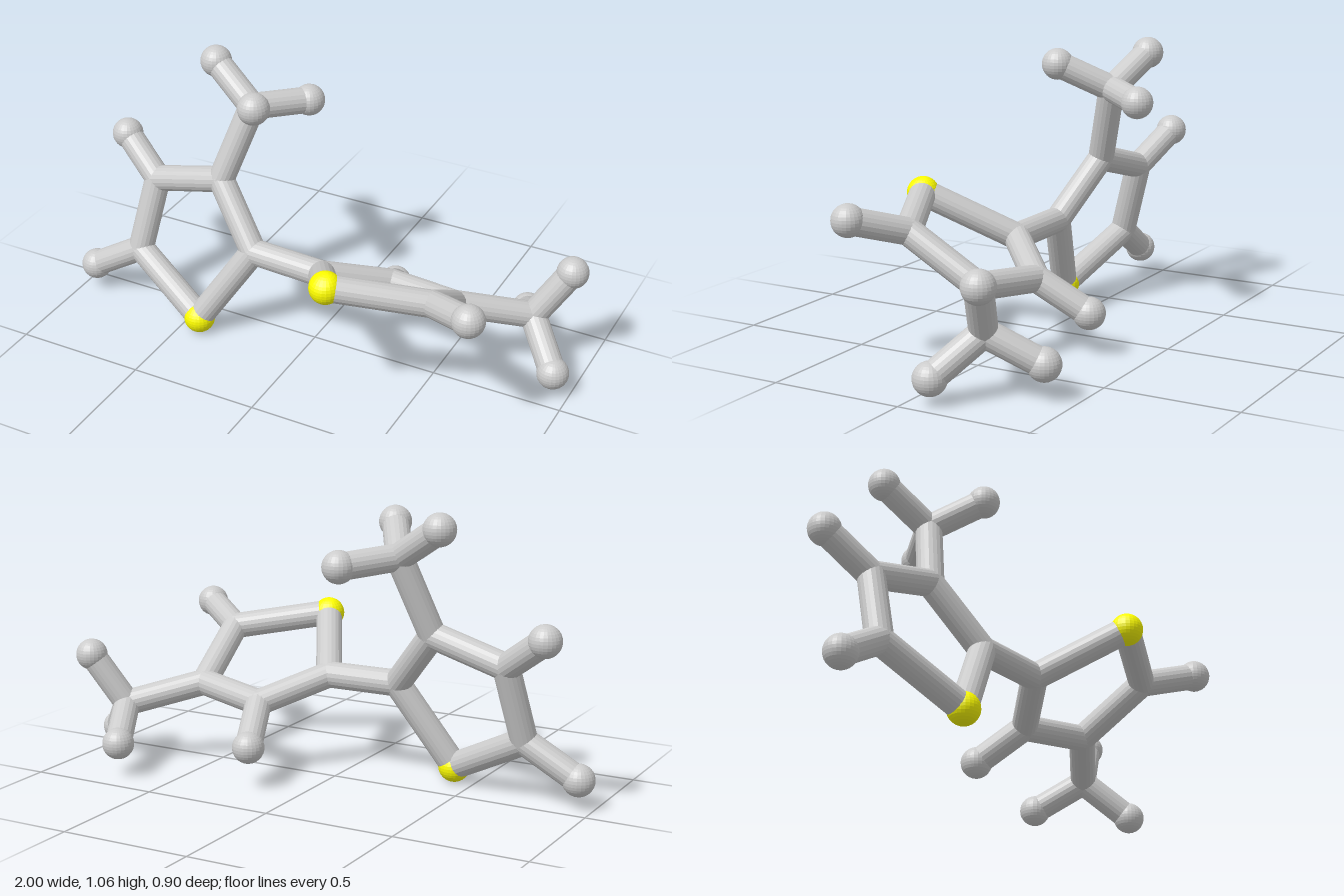
import * as THREE from 'three';

const BOND_RADIUS = 0.05;
const BALL_RADIUS = 0.06;

// Joint positions; the first letter gives the kind: s sulfur, c carbon, h hydrogen
const atoms = {
  // left-hand ring (-x)
  s1: [-0.42, 0.064, 0.16],
  c2: [-0.22, 0.375, 0.08],
  c3: [-0.405, 0.595, -0.01],
  c4: [-0.7, 0.515, -0.025],
  c5: [-0.74, 0.23, 0.06],
  h4: [-0.87, 0.64, -0.09],
  h5: [-0.942, 0.11, 0.08],
  // methyl on the left-hand ring
  c6: [-0.315, 0.885, -0.1],
  h6a: [-0.5, 1.005, -0.16],
  h6b: [-0.21, 0.98, 0.075],
  h6c: [-0.17, 0.865, -0.28],
  // right-hand ring (+x)
  s11: [0.243, 0.537, 0.39],
  c12: [0.075, 0.37, 0.09],
  c13: [0.27, 0.28, -0.105],
  c14: [0.555, 0.31, -0.04],
  c15: [0.58, 0.478, 0.23],
  h13: [0.205, 0.16, -0.285],
  h15: [0.765, 0.54, 0.353],
  // methyl on the right-hand ring
  c16: [0.8, 0.235, -0.21],
  h16a: [0.92, 0.425, -0.265],
  h16b: [0.935, 0.095, -0.085],
  h16c: [0.715, 0.13, -0.39],
};

const bonds = [
  's1 c2', 'c2 c3', 'c3 c4', 'c4 c5', 'c5 s1', 'c4 h4', 'c5 h5',
  'c3 c6', 'c6 h6a', 'c6 h6b', 'c6 h6c',
  'c2 c12',
  's11 c12', 'c12 c13', 'c13 c14', 'c14 c15', 'c15 s11', 'c13 h13', 'c15 h15',
  'c14 c16', 'c16 h16a', 'c16 h16b', 'c16 h16c',
];

export function createModel() {
  const model = new THREE.Group();
  model.name = 'molecule';
  const grey = new THREE.MeshStandardMaterial({ color: 0xcccccc, flatShading: true });
  const yellow = new THREE.MeshStandardMaterial({ color: 0xffff00, flatShading: true });

  const ball = new THREE.SphereGeometry(BALL_RADIUS, 24, 16);
  const joint = new THREE.SphereGeometry(BOND_RADIUS, 24, 16);
  const kinds = {
    s: ['sulfurBall', ball, yellow],
    c: ['carbonJoint', joint, grey],
    h: ['hydrogenBall', ball, grey],
  };

  // Balls and rounded joints
  for (const [key, position] of Object.entries(atoms)) {
    const [name, geometry, material] = kinds[key[0]];
    const mesh = new THREE.Mesh(geometry, material);
    mesh.name = name;
    mesh.position.set(...position);
    model.add(mesh);
  }

  // Straight rods between the joints
  const up = new THREE.Vector3(0, 1, 0);
  for (const pair of bonds) {
    const [a, b] = pair.split(' ').map((key) => new THREE.Vector3(...atoms[key]));
    const axis = b.clone().sub(a);
    const geometry = new THREE.CylinderGeometry(BOND_RADIUS, BOND_RADIUS, axis.length(), 20, 1, true);
    const rod = new THREE.Mesh(geometry, grey);
    rod.name = 'bondRod';
    rod.position.copy(a).add(b).multiplyScalar(0.5);
    rod.quaternion.setFromUnitVectors(up, axis.normalize());
    model.add(rod);
  }

  return model;
}
